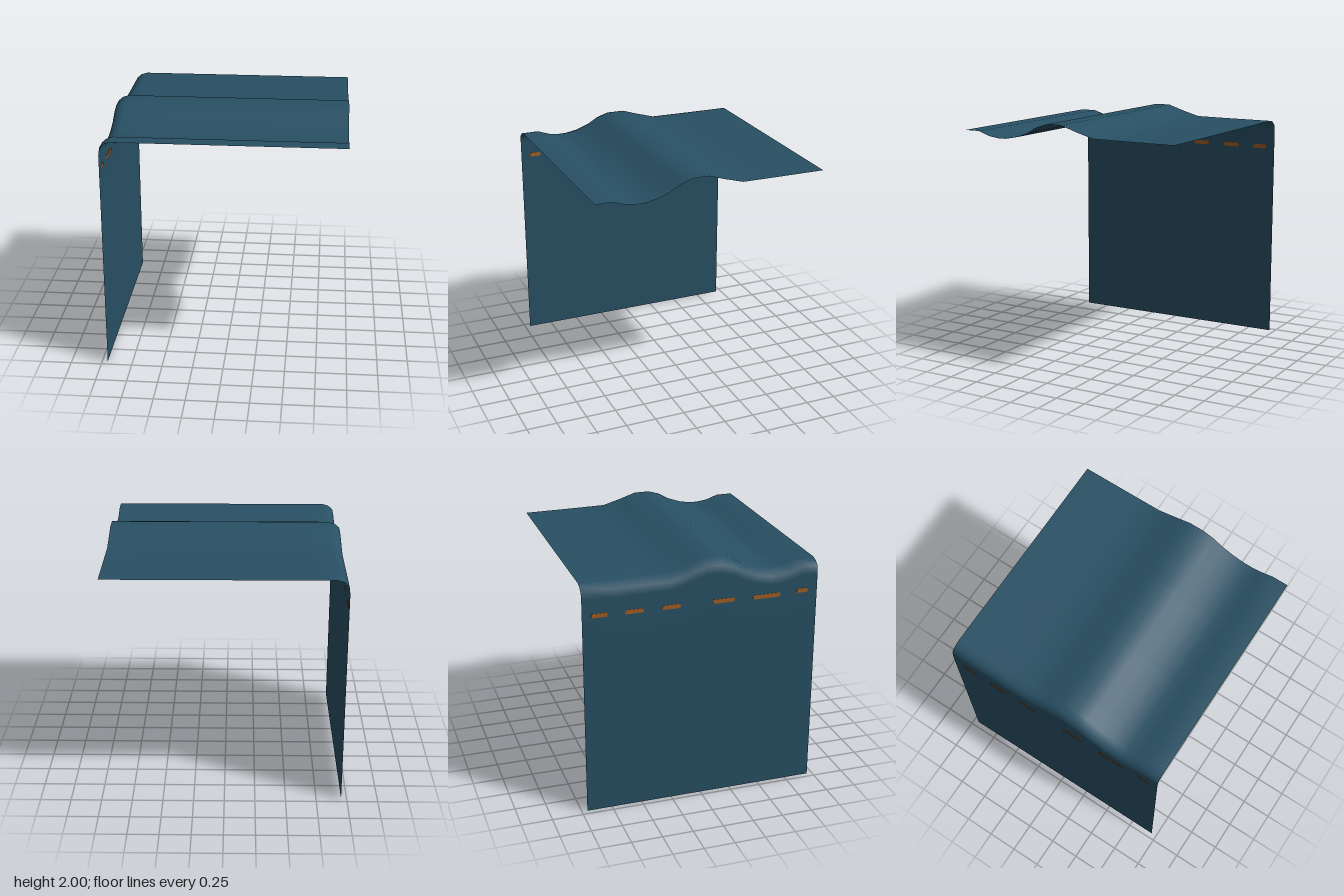
import * as THREE from 'three';

const SHEET = new THREE.MeshStandardMaterial({ color: 0x285064, side: THREE.DoubleSide });
SHEET.name = 'deep teal';
const STITCH = new THREE.MeshStandardMaterial({ color: 0xa35f22 });
STITCH.name = 'burnt orange';

const WALL_X = -0.955;

// Rolling height of the top panel, front to back: [z, y]
const WAVE = [
  [0.955, 1.908], [0.82, 1.908], [0.72, 1.873], [0.63, 1.861], [0.56, 1.861],
  [0.46, 1.879], [0.35, 1.919], [0.26, 1.971], [0.165, 2], [0.035, 2],
  [-0.1, 1.956], [-0.255, 1.912], [-0.48, 1.91], [-0.72, 1.909], [-0.955, 1.908],
];

// Section across the sheet: [x, drop below the wave]
const BEND = [
  [0.955, 0], [0.4, 0], [-0.2, 0], [-0.7, 0], [-0.86, 0],
  [-0.909, -0.015], [-0.946, -0.046], [WALL_X, -0.11],
];
const WALL_ROWS = 5;

// Top panel, rounded bend and hanging side as one continuous sheet
function makeSheet() {
  const positions = [];
  const index = [];
  for (const [x, drop] of BEND) {
    for (const [z, y] of WAVE) positions.push(x, y + drop, z);
  }
  const lastDrop = BEND[BEND.length - 1][1];
  for (let r = 1; r <= WALL_ROWS; r++) {
    for (const [z, y] of WAVE) positions.push(WALL_X, (y + lastDrop) * (1 - r / WALL_ROWS), z);
  }
  const n = WAVE.length;
  for (let i = 0; i < BEND.length + WALL_ROWS - 1; i++) {
    for (let j = 0; j < n - 1; j++) {
      const a = i * n + j, b = a + n;
      index.push(a, a + 1, b, b, a + 1, b + 1);
    }
  }
  const geometry = new THREE.BufferGeometry();
  geometry.setAttribute('position', new THREE.Float32BufferAttribute(positions, 3));
  geometry.setIndex(index);
  geometry.computeVertexNormals();
  const mesh = new THREE.Mesh(geometry, SHEET);
  mesh.name = 'foldedSheet';
  return mesh;
}

// Thin rounded dash showing on both faces of the hanging side
function makeDash(zFront, zBack, y) {
  const half = (zFront - zBack) / 2, h = 0.017, c = 0.013;
  const shape = new THREE.Shape();
  shape.moveTo(-half + c, -h);
  shape.lineTo(half - c, -h);
  shape.quadraticCurveTo(half, -h, half, 0);
  shape.quadraticCurveTo(half, h, half - c, h);
  shape.lineTo(-half + c, h);
  shape.quadraticCurveTo(-half, h, -half, 0);
  shape.quadraticCurveTo(-half, -h, -half + c, -h);
  const depth = 0.005;
  const geometry = new THREE.ExtrudeGeometry(shape, { depth, bevelEnabled: false, curveSegments: 5 });
  geometry.translate(0, 0, -depth / 2);
  geometry.rotateY(Math.PI / 2);
  const mesh = new THREE.Mesh(geometry, STITCH);
  mesh.position.set(WALL_X, y, (zFront + zBack) / 2);
  mesh.name = 'dash';
  return mesh;
}

export function createModel() {
  const model = new THREE.Group();
  model.name = 'drapedPanel';
  model.add(makeSheet());

  // Uneven row of dashes below the bend: [front z, back z, y]
  const dashes = new THREE.Group();
  dashes.name = 'dashRow';
  for (const d of [
    [0.877, 0.782, 1.672], [0.644, 0.416, 1.661], [0.262, 0.087, 1.666],
    [-0.178, -0.326, 1.667], [-0.469, -0.617, 1.668], [-0.755, -0.882, 1.669],
  ]) dashes.add(makeDash(...d));
  model.add(dashes);
  return model;
}
